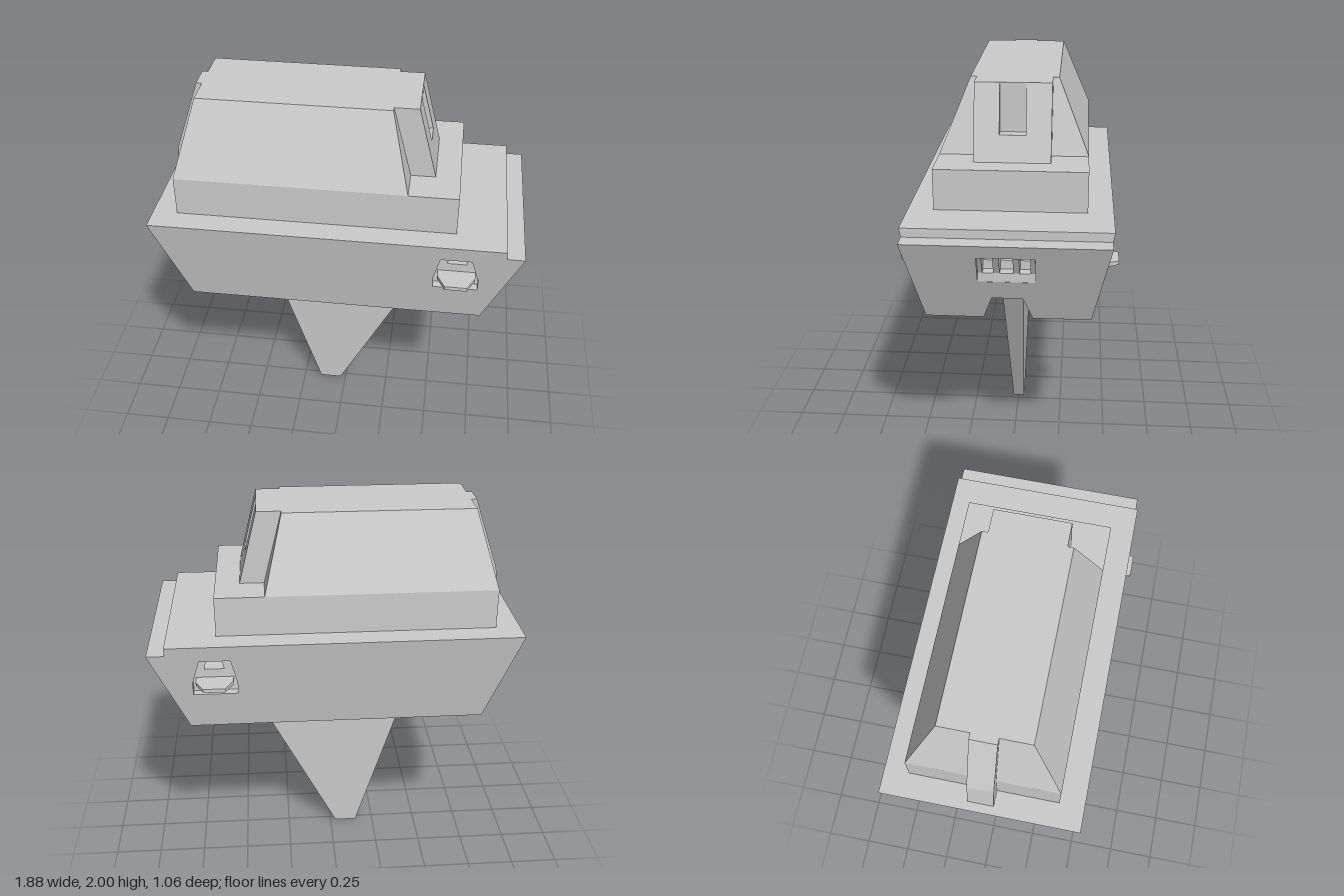
import * as THREE from 'three';

const solid = new THREE.MeshStandardMaterial({ color: 0xcccccc, flatShading: true });
const shell = new THREE.MeshStandardMaterial({ color: 0xcccccc, flatShading: true, side: THREE.DoubleSide });
const toPoints = (list) => list.map(([u, v]) => new THREE.Vector2(u, v));

export function createModel() {
  const model = new THREE.Group();

  function add(name, geometry, material = solid) {
    const mesh = new THREE.Mesh(geometry, material);
    mesh.name = name;
    model.add(mesh);
    return mesh;
  }

  // Tapered block between two rectangles [x0, x1, z0, z1] at heights y0 and y1
  function block(name, y0, bottom, y1, top) {
    const geometry = new THREE.BoxGeometry(1, 1, 1).toNonIndexed();
    const p = geometry.attributes.position;
    for (let i = 0; i < p.count; i++) {
      const up = p.getY(i) > 0;
      const r = up ? top : bottom;
      p.setXYZ(i, r[p.getX(i) > 0 ? 1 : 0], up ? y1 : y0, r[p.getZ(i) > 0 ? 3 : 2]);
    }
    geometry.computeVertexNormals();
    return add(name, geometry);
  }

  // Flat panel with optional holes, carried into space by a mapping rule
  function panel(name, outline, map, holes = []) {
    const shape = new THREE.Shape(toPoints(outline));
    holes.forEach((h) => shape.holes.push(new THREE.Path(toPoints(h))));
    const geometry = new THREE.ShapeGeometry(shape).toNonIndexed();
    const p = geometry.attributes.position;
    for (let i = 0; i < p.count; i++) p.setXYZ(i, ...map(p.getX(i), p.getY(i)));
    geometry.computeVertexNormals();
    return add(name, geometry, shell);
  }

  // Walls joining one outline on two mapped surfaces
  function lining(name, outline, mapA, mapB) {
    const pos = [];
    outline.forEach((a, i) => {
      const b = outline[(i + 1) % outline.length];
      const [a0, b0, a1, b1] = [mapA(...a), mapA(...b), mapB(...a), mapB(...b)];
      pos.push(...a0, ...b0, ...b1, ...a0, ...b1, ...a1);
    });
    const geometry = new THREE.BufferGeometry();
    geometry.setAttribute('position', new THREE.Float32BufferAttribute(pos, 3));
    geometry.computeVertexNormals();
    return add(name, geometry, shell);
  }

  // Thin horizontal plate from an outline in x and z
  function plate(name, outline, top, thickness) {
    const geometry = new THREE.ExtrudeGeometry(new THREE.Shape(toPoints(outline)),
      { depth: thickness, bevelEnabled: false });
    geometry.rotateX(Math.PI / 2);
    add(name, geometry).position.y = top;
  }

  const rect = (u0, u1, v0, v1) => [[u0, v0], [u1, v0], [u1, v1], [u0, v1]];

  // Sloping planes of the hull and its tunnel
  const low = 0.925, roof = 1.055, step = 1.375, deck = 1.42;
  const halfWidth = (y) => 0.405 + ((y - low) / (deck - low)) * 0.095;
  const bow = (y) => 0.755 + ((y - low) / (step - low)) * 0.185;
  const stern = (y) => -0.775 - ((y - low) / (deck - low)) * 0.17;
  const tunnel = (y) => 0.12 - ((y - low) / (roof - low)) * 0.045;

  // Hull sides with a window pocket, and the tunnel walls
  const windowOutline = [[0.5, 1.13], [0.725, 1.13], [0.725, 1.2], [0.685, 1.335], [0.53, 1.335], [0.5, 1.2]];
  const opening = [[0.565, 1.25], [0.665, 1.25], [0.655, 1.305], [0.58, 1.305]];
  const niche = rect(-0.71, -0.57, 0.955, 1.03);
  for (const s of [1, -1]) {
    const onSide = (x, y) => [x, y, s * halfWidth(y)];
    const inPocket = (x, y) => [x, y, s * 0.4];
    panel('hullSide', [[stern(low), low], [bow(low), low], [bow(step), step],
      [0.85, step], [0.85, deck], [stern(deck), deck]], onSide, [windowOutline]);
    lining('windowReveal', windowOutline, onSide, inPocket);
    panel('windowBack', windowOutline, inPocket, [opening]);
    plate('windowLedge', [[0.52, 0.4], [0.71, 0.4], [0.71, 0.45], [0.685, 0.5], [0.67, 0.53],
      [0.56, 0.53], [0.545, 0.5], [0.52, 0.45]].map(([x, z]) => [x, z * s]), 1.205, 0.02);

    const onTunnel = (x, y) => [x, y, s * tunnel(y)];
    const inNiche = (x, y) => [x, y, s * 0.2];
    panel('tunnelWall', [[stern(low), low], [bow(low), low], [bow(roof), roof], [stern(roof), roof]],
      onTunnel, [niche]);
    lining('tunnelNicheReveal', niche, onTunnel, inNiche);
    panel('tunnelNicheBack', niche, inNiche);
    plate('tunnelLedge', [[-0.72, 0.13], [-0.56, 0.13], [-0.58, 0.06], [-0.7, 0.06]]
      .map(([x, z]) => [x, z * s]), 0.95, 0.015);
    panel('hullBottom', rect(stern(low), bow(low), 0.12, 0.405), (x, z) => [x, low, s * z]);
  }
  lining('windowPassage', opening, (x, y) => [x, y, 0.4], (x, y) => [x, y, -0.4]);
  panel('tunnelRoof', rect(stern(roof), bow(roof), -0.075, 0.075), (x, z) => [x, roof, z]);

  // Hull ends, notched by the tunnel; the bow has a barred port
  const endOutline = (top) => [[-0.405, low], [-0.12, low], [-0.075, roof], [0.075, roof], [0.12, low],
    [0.405, low], [halfWidth(top), top], [-halfWidth(top), top]];
  const port = rect(-0.137, 0.137, 1.16, 1.305);
  const onBow = (z, y) => [bow(y), y, z];
  const inPort = (z, y) => [0.76, y, z];
  panel('hullBow', endOutline(step), onBow, [port]);
  panel('hullStern', endOutline(deck), (z, y) => [stern(y), y, z]);
  lining('portReveal', port, onBow, inPort);
  panel('portBack', port, inPort);
  block('portSill', 1.16, [0.76, 0.85, -0.137, 0.137], 1.205, [0.76, 0.85, -0.137, 0.137]);
  block('portStep', 1.205, [0.76, 0.8, -0.137, 0.137], 1.25, [0.76, 0.8, -0.137, 0.137]);
  for (const z of [-0.125, -0.047, 0.047, 0.125]) {
    const w = Math.abs(z) > 0.1 ? 0.011 : 0.015;
    block('portBar', 1.205, [0.76, 0.85, z - w, z + w], 1.304, [0.76, 0.9, z - w, z + w]);
  }

  // Deck and the lower step at the bow
  panel('deck', rect(stern(deck), 0.85, -0.5, 0.5), (x, z) => [x, deck, z]);
  panel('bowStep', rect(0.85, 0.94, -halfWidth(step), halfWidth(step)), (x, z) => [x, step, z]);
  panel('bowStepRiser', [[-halfWidth(step), step], [halfWidth(step), step], [0.5, deck], [-0.5, deck]],
    (z, y) => [0.85, y, z]);

  // Superstructure
  block('cabinBase', deck, [-0.82, 0.6, -0.375, 0.375], 1.625, [-0.82, 0.6, -0.375, 0.375]);
  block('cabin', 1.625, [-0.82, 0.35, -0.375, 0.375], 2, [-0.715, 0.255, -0.22, 0.22]);

  // Rear rib
  block('lowerRib', deck, [-0.9, -0.8, -0.065, 0.065], 1.625, [-0.875, -0.8, -0.065, 0.065]);
  block('upperRib', 1.625, [-0.875, -0.7, -0.065, 0.065], 2, [-0.745, -0.7, -0.065, 0.065]);

  // Front tower with a wedge-shaped slot
  for (const s of [1, -1]) {
    const [z0, z1] = s > 0 ? [0.065, 0.19] : [-0.19, -0.065];
    block('towerCheek', 1.625, [0.24, 0.475, z0, z1], 2, [0.24, 0.38, z0, z1]);
  }
  block('towerSill', 1.625, [0.24, 0.475, -0.065, 0.065], 1.755, [0.24, 0.442, -0.065, 0.065]);
  block('towerSlotBack', 1.755, [0.24, 0.38, -0.065, 0.065], 2, [0.24, 0.38, -0.065, 0.065]);

  // Tapered keel fin
  block('keelFin', 0, [-0.15, -0.03, -0.03, 0.03], roof, [-0.475, 0.506, -0.06, 0.06]);

  return model;
}
